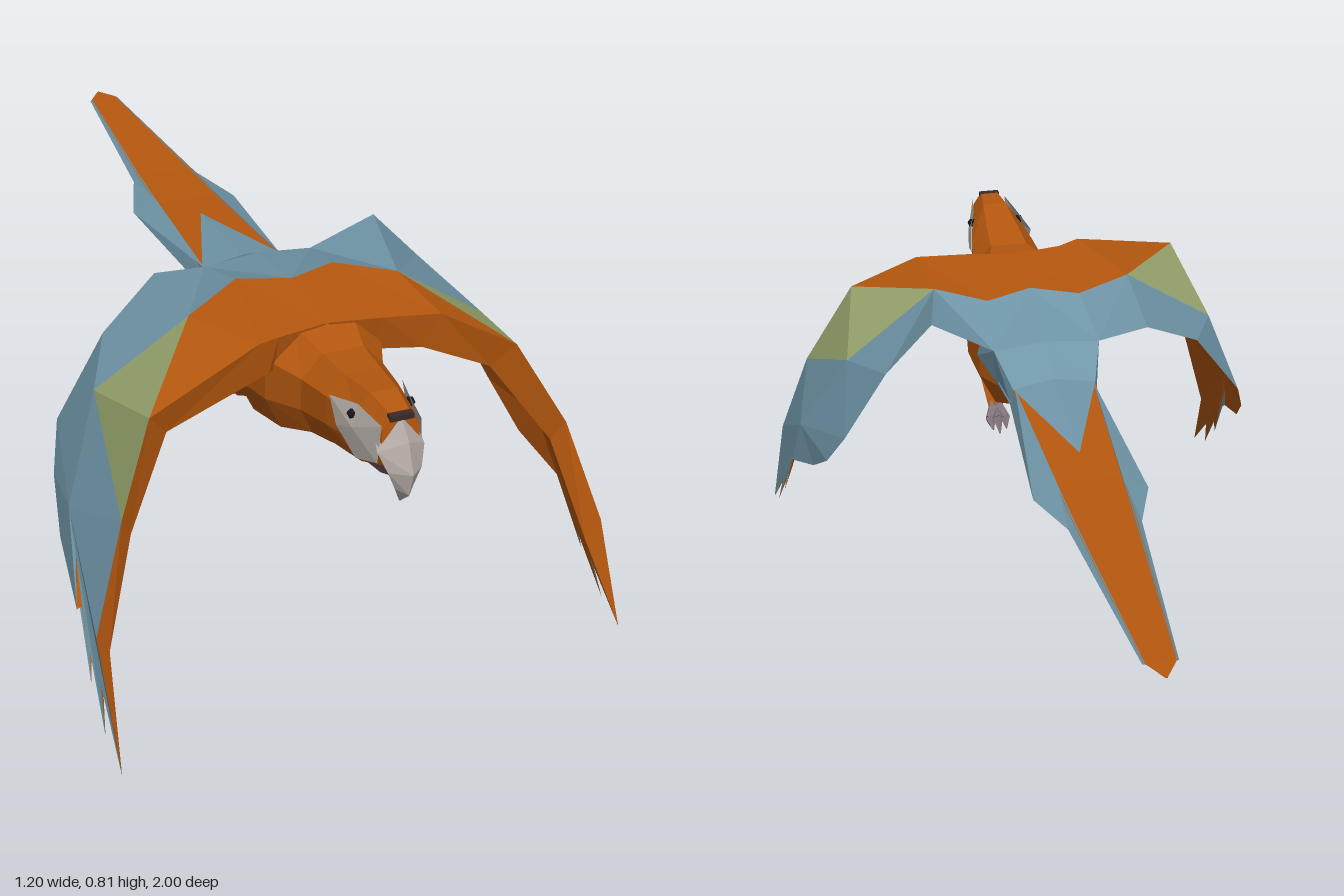
import * as THREE from 'three';

const ORANGE = 0xb8590f, BLUE = 0x7096a8, GREEN = 0x98a66e;
const PALE = 0xb9b0aa, DARK = 0x3a2a2a, CLAW = 0x80727a;
const CX = -0.025; // body centre line

function mat(color) {
  return new THREE.MeshStandardMaterial({ color, flatShading: true, side: THREE.DoubleSide, roughness: 0.9 });
}

// Mesh from a list of triangles, each made of three [x, y, z] corners
function facets(name, color, tris) {
  const g = new THREE.BufferGeometry();
  g.setAttribute('position', new THREE.Float32BufferAttribute(tris.flat(2), 3));
  g.computeVertexNormals();
  const m = new THREE.Mesh(g, mat(color));
  m.name = name;
  return m;
}

const fan = (c, pts) => pts.slice(1).map((p, i) => [c, pts[i], p]);

// Skin over closed rings of equal length, capped at both ends
function loft(name, color, rings) {
  const tris = [], n = rings[0].length;
  for (let i = 0; i + 1 < rings.length; i++) {
    for (let j = 0; j < n; j++) {
      const k = (j + 1) % n, [a, b] = [rings[i], rings[i + 1]];
      tris.push([a[j], b[j], b[k]], [a[j], b[k], a[k]]);
    }
  }
  const first = rings[0], last = rings[rings.length - 1];
  tris.push(...fan(first[0], first.slice(1)), ...fan(last[0], last.slice(1).reverse()));
  return facets(name, color, tris);
}

// Tapered rod between two points
function rod(name, color, a, b, ra, rb) {
  const A = new THREE.Vector3(...a), B = new THREE.Vector3(...b), d = B.clone().sub(A);
  const m = new THREE.Mesh(new THREE.CylinderGeometry(rb, ra, d.length(), 5), mat(color));
  m.position.copy(A).add(B).multiplyScalar(0.5);
  m.quaternion.setFromUnitVectors(new THREE.Vector3(0, 1, 0), d.normalize());
  m.name = name;
  return m;
}

// Wing points: l = leading edge, m = mid chord, t = trailing edge, f = feather tips
const LEFT = {
  l0: [0.09, 0.785, 0.585], l1: [0.215, 0.78, 0.605], l2: [0.375, 0.695, 0.645], l3: [0.495, 0.49, 0.67], l4: [0.565, 0.26, 0.735],
  m0: [0.085, 0.787, 0.33], m1: [0.2, 0.787, 0.415], m3: [0.42, 0.63, 0.39], m4: [0.535, 0.4, 0.5],
  t0: [0.1, 0.74, 0.17], t1: [0.24, 0.81, 0.195], t2: [0.35, 0.69, 0.2], t3: [0.45, 0.5, 0.245], t4: [0.49, 0.4, 0.315], t5: [0.515, 0.32, 0.43],
  f0: [0.597, 0.005, 0.8], f1: [0.59, 0.04, 0.73], f2: [0.578, 0.12, 0.645], f3: [0.558, 0.26, 0.565],
};
const RIGHT = {
  l0: [-0.14, 0.785, 0.585], l1: [-0.19, 0.79, 0.605], l2: [-0.45, 0.717, 0.68], l3: [-0.52, 0.5, 0.7], l4: [-0.595, 0.26, 0.745],
  m0: [-0.135, 0.787, 0.325], m1: [-0.275, 0.775, 0.42], m3: [-0.485, 0.64, 0.42], m4: [-0.572, 0.42, 0.5],
  t0: [-0.15, 0.74, 0.17], t1: [-0.27, 0.755, 0.185], t2: [-0.41, 0.67, 0.25], t3: [-0.53, 0.5, 0.285], t4: [-0.562, 0.41, 0.355], t5: [-0.583, 0.32, 0.46],
  f0: [-0.59, 0, 0.875], f1: [-0.597, 0.04, 0.79], f2: [-0.6, 0.12, 0.71], f3: [-0.6, 0.25, 0.625],
};
// Shift from upper to lower skin: inward, down, back
const LOWER = {
  l0: [0, -0.085, -0.02], l1: [0.03, -0.085, -0.02], l2: [0.045, -0.06, -0.03], l3: [0.025, -0.05, -0.02], l4: [0.03, -0.05, -0.01],
  m0: [0, -0.06, 0], m1: [0.015, -0.05, 0], m3: [0.025, -0.02, 0], m4: [0.015, 0, 0],
};
const PANELS = [
  ['shoulderFeathers', ORANGE, 'l0 l1 m0,l1 m1 m0,l1 l2 m1'],
  ['wingBand', GREEN, 'm1 l2 m3,l2 l3 m3'],
  ['flightFeathers', BLUE, 'm0 m1 t0,m1 t1 t0,m1 t2 t1,m1 m3 t2,m3 t3 t2,l3 l4 m4,l3 m4 m3,m3 m4 t3,m4 t4 t3,m4 t5 t4'],
];

function wing(name, P, side) {
  const g = new THREE.Group();
  g.name = name;
  const low = {};
  for (const k in P) {
    const o = LOWER[k] || [0, 0, 0];
    low[k] = [P[k][0] - side * o[0], P[k][1] + o[1], P[k][2] + o[2]];
  }
  const pick = (Q, s) => s.split(',').map(t => t.split(' ').map(k => Q[k]));
  // Outer fringe: feather tips with gaps drawn back towards the wing
  const fringe = Q => {
    const pts = [Q.l4];
    for (let i = 0; i < 4; i++) {
      if (i) pts.push(Q.m4.map((v, c) => v * 0.28 + 0.36 * (Q['f' + (i - 1)][c] + Q['f' + i][c])));
      pts.push(Q['f' + i]);
    }
    return fan(Q.m4, [...pts, Q.t5]);
  };
  for (const [n, c, s] of PANELS) g.add(facets(n, c, pick(P, s)));
  g.add(facets('wingTipFeathers', BLUE, fringe(P)));
  const under = PANELS.flatMap(p => pick(low, p[2])).concat(fringe(low));
  g.add(facets('wingUnderside', ORANGE, under));
  // Thick leading edge, joined to the breast
  const edge = [[[CX, 0.785, 0.565], P.l0, low.l0]];
  ['l0', 'l1', 'l2', 'l3', 'l4', 'f0'].forEach((k, i, a) => {
    if (i) edge.push([P[a[i - 1]], P[k], low[k]], [P[a[i - 1]], low[k], low[a[i - 1]]]);
  });
  g.add(facets('leadingEdge', ORANGE, edge));
  return g;
}

export function createModel() {
  const model = new THREE.Group();
  model.name = 'flyingParrot';

  // Body, neck and head: z, half width, top, bottom
  const half = [[0.5, 1], [1, 0.45], [1, -0.35], [0.72, -1]];
  const outline = [...half, ...half.map(([x, y]) => [-x, y]).reverse()];
  const body = [
    [0.935, 0.04, 0.782, 0.67], [0.85, 0.058, 0.788, 0.632], [0.75, 0.077, 0.775, 0.615], [0.65, 0.09, 0.768, 0.585],
    [0.55, 0.13, 0.782, 0.545], [0.42, 0.145, 0.78, 0.515], [0.3, 0.138, 0.765, 0.525], [0.18, 0.1, 0.725, 0.585], [0.06, 0.08, 0.68, 0.615],
  ].map(([z, w, top, bot]) => outline.map(([x, y]) => [CX + x * w, (top + bot) / 2 + y * (top - bot) / 2, z]));
  model.add(loft('bodyAndHead', ORANGE, body));

  // Mantle and back over the body
  const c = [CX, 0.79, 0.37], front = [CX, 0.785, 0.565];
  const ridge = [CX, 0.752, 0.17], base = [CX, 0.702, 0.08], tailEnd = [CX, 0.672, -0.2];
  for (const [P, s] of [[LEFT, 1], [RIGHT, -1]]) {
    const at = (x, y, z) => [CX + s * x, y, z];
    const b = at(0.097, 0.685, 0.08);
    model.add(facets('mantle', ORANGE, [[front, P.l0, P.m0], [front, P.m0, c]]));
    model.add(facets('back', BLUE, [[c, P.m0, P.t0], [c, P.t0, ridge], [ridge, P.t0, b], [ridge, b, base], [base, b, tailEnd]]));
    model.add(facets('rump', BLUE, fan(P.t0, [b, at(0.1, 0.64, 0.08), at(0.116, 0.64, 0.2), at(0.143, 0.66, 0.3), P.m0])));
    model.add(wing(s > 0 ? 'leftWing' : 'rightWing', P, s));
  }

  // Long central tail: z, half width, top, bottom
  const tail = [[0.1, 0.098, 0.684, 0.615], [-0.3, 0.077, 0.665, 0.632], [-0.46, 0.068, 0.66, 0.638], [-0.95, 0.034, 0.653, 0.648], [-1, 0.002, 0.651, 0.649]];
  model.add(loft('tail', ORANGE, tail.map(([z, w, t, b]) =>
    [[CX - w, t, z], [CX + w, t, z], [CX + w * 0.8, b, z], [CX - w * 0.8, b, z]])));

  for (const s of [1, -1]) {
    const at = (x, y, z) => [CX + s * x, y, z];
    // Outer tail feathers: z, inner x, outer x, top, outer y, bottom
    const rings = [[0.17, 0.08, 0.116, 0.72, 0.655, 0.6], [0.08, 0.092, 0.104, 0.685, 0.645, 0.61], [-0.32, 0.072, 0.128, 0.667, 0.64, 0.627],
      [-0.46, 0.064, 0.08, 0.662, 0.648, 0.634], [-0.95, 0.032, 0.037, 0.654, 0.65, 0.647]];
    model.add(loft('outerTailFeathers', BLUE, rings.map(([z, xi, xo, top, mid, bot]) =>
      [at(xi, top, z), at(xo, mid, z), at(xi * 0.8, bot, z)])));

    // Bare face patch and eye
    const rim = [at(0.042, 0.765, 0.937), at(0.054, 0.768, 0.85), at(0.079, 0.747, 0.768), at(0.077, 0.695, 0.8),
      at(0.06, 0.65, 0.86), at(0.047, 0.68, 0.935), at(0.042, 0.765, 0.937)];
    model.add(facets('facePatch', PALE, fan(at(0.068, 0.72, 0.855), rim)));
    const eye = new THREE.Mesh(new THREE.IcosahedronGeometry(0.012, 0), mat(0x15151c));
    eye.position.set(...at(0.061, 0.743, 0.842));
    eye.name = 'eye';
    model.add(eye);

    // Leg and toes
    model.add(rod('leg', ORANGE, at(0.09, 0.56, 0.38), at(0.098, 0.505, 0.31), 0.035, 0.018));
    for (const i of [-1, 0, 1]) {
      const knuckle = at(0.098 + i * 0.018, 0.49, 0.285);
      model.add(rod('toe', CLAW, at(0.098, 0.512, 0.315), knuckle, 0.016, 0.013));
      model.add(rod('claw', CLAW, knuckle, at(0.098 + i * 0.016, 0.464 + Math.abs(i) * 0.012, 0.255), 0.013, 0.002));
    }
  }

  // Hooked upper beak and lower beak: outer z, y, inner z, y, half width
  const hook = ([z1, y1, z2, y2, w]) => {
    const z = z1 * 0.4 + z2 * 0.6, y = y1 * 0.4 + y2 * 0.6;
    return [[CX, y1, z1], [CX + w, y, z], [CX, y2, z2], [CX - w, y, z]];
  };
  model.add(loft('upperBeak', PALE, [[0.935, 0.777, 0.9, 0.7, 0.046], [0.975, 0.742, 0.915, 0.685, 0.05], [1, 0.68, 0.935, 0.665, 0.036],
    [0.985, 0.625, 0.945, 0.635, 0.02], [0.945, 0.588, 0.944, 0.59, 0.002]].map(hook)));
  model.add(loft('lowerBeak', DARK, [[0.9, 0.69, 0.87, 0.635, 0.05], [0.935, 0.675, 0.915, 0.632, 0.034], [0.95, 0.655, 0.94, 0.64, 0.012]].map(hook)));

  // Dark band above the beak
  const band = new THREE.Mesh(new THREE.BoxGeometry(0.05, 0.012, 0.016), mat(DARK));
  band.position.set(CX, 0.777, 0.932);
  band.name = 'beakBand';
  model.add(band);

  return model;
}
